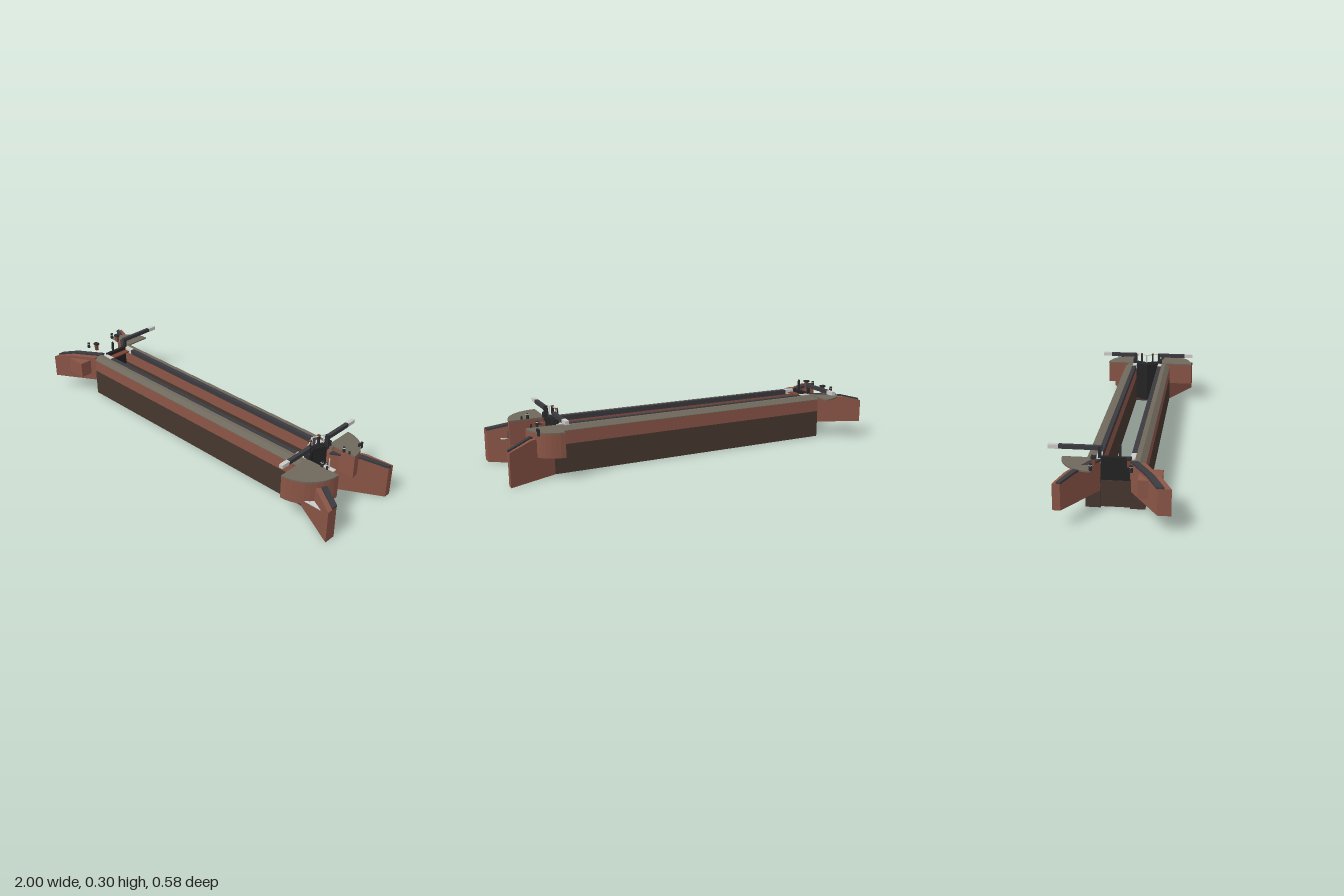
import * as THREE from 'three';

const mat = (name, color) => {
  const m = new THREE.MeshStandardMaterial({ color, side: THREE.DoubleSide, flatShading: true });
  m.name = name;
  return m;
};

export function createModel() {
  const root = new THREE.Group();
  root.name = 'canalLock';
  const brick = mat('brick', 0x8a5546), mud = mat('wetBrick', 0x46372f),
    stone = mat('pavingStone', 0x6f685c), coping = mat('darkCoping', 0x3a3a3f),
    gateBlack = mat('gateTimber', 0x232323), pale = mat('palePaint', 0xcbcbc8),
    iron = mat('iron', 0x2c2c30), rust = mat('rust', 0x7a4432), blue = mat('bluePaint', 0x3d4a63);

  const add = (name, geo, m) => {
    const mesh = new THREE.Mesh(geo, m);
    mesh.name = name;
    root.add(mesh);
    return mesh;
  };
  // box given by its minimum and maximum on each axis
  const box = (name, m, x0, x1, y0, y1, z0, z1) => {
    const g = new THREE.BoxGeometry(x1 - x0, y1 - y0, Math.abs(z1 - z0));
    return add(name, g.translate((x0 + x1) / 2, (y0 + y1) / 2, (z0 + z1) / 2), m);
  };
  const post = (name, m, x, y0, y1, z, r, sides = 8) =>
    add(name, new THREE.CylinderGeometry(r, r, y1 - y0, sides).translate(x, (y0 + y1) / 2, z), m);
  // upright block on a convex plan; every corner is [x, z, bottom, top]
  const block = (name, m, corners) => {
    let area = 0;
    corners.forEach((a, i) => {
      const b = corners[(i + 1) % corners.length];
      area += a[0] * b[1] - b[0] * a[1];
    });
    const p = area > 0 ? [...corners].reverse() : corners, n = p.length, v = [];
    const lo = (i) => [p[i % n][0], p[i % n][2], p[i % n][1]];
    const hi = (i) => [p[i % n][0], p[i % n][3], p[i % n][1]];
    for (let i = 0; i < n; i++) {
      v.push(...lo(i), ...lo(i + 1), ...hi(i + 1), ...lo(i), ...hi(i + 1), ...hi(i));
      if (i > 0 && i < n - 1) v.push(...hi(0), ...hi(i), ...hi(i + 1), ...lo(0), ...lo(i + 1), ...lo(i));
    }
    const g = new THREE.BufferGeometry();
    g.setAttribute('position', new THREE.Float32BufferAttribute(v, 3));
    g.computeVertexNormals();
    return add(name, g, m);
  };

  // chamber walls: wet lower courses, brick, sloped paving, dark coping
  const X0 = -0.785, X1 = 0.755, MID = 0.015;
  for (const s of [1, -1]) {
    const z = (d) => MID + s * d;
    box('lowerWall', mud, X0, X1, 0, 0.145, z(0.067), z(0.135));
    box('upperWall', brick, X0, X1, 0.145, 0.21, z(0.067), z(0.135));
    block('wallPaving', stone, [[X0, z(0.085), 0.21, 0.232], [X1, z(0.085), 0.21, 0.232],
      [X1, z(0.11), 0.21, 0.232], [X0, z(0.11), 0.21, 0.232]]);
    block('wallPavingSlope', stone, [[X0, z(0.11), 0.21, 0.232], [X1, z(0.11), 0.21, 0.232],
      [X1, z(0.135), 0.21, 0.213], [X0, z(0.135), 0.21, 0.213]]);
    box('copingEdge', coping, -0.7, 0.665, 0.21, 0.235, z(0.065), z(0.087));
    box('copingEnd', pale, -0.76, -0.7, 0.21, 0.236, z(0.065), z(0.087));
    box('copingEnd', pale, 0.665, 0.725, 0.21, 0.236, z(0.065), z(0.087));
  }

  // splayed wing walls, each a run of segments with a cap along the inner half
  const wing = (path, base, iz, oz) => {
    const [xa, xb] = [path[0][0], path[path.length - 1][0]];
    const at = (x, f) => {
      const t = (x - xa) / (xb - xa), i = iz[0] + (iz[1] - iz[0]) * t, o = oz[0] + (oz[1] - oz[0]) * t;
      return i + (o - i) * f;
    };
    for (let k = 0; k < path.length - 1; k++) {
      const [[x0, y0], [x1, y1]] = [path[k], path[k + 1]];
      block('wingWall', brick, [[x0, at(x0, 0), base, y0], [x1, at(x1, 0), base, y1],
        [x1, at(x1, 1), base, y1], [x0, at(x0, 1), base, y0]]);
      block('wingCap', coping, [[x0, at(x0, -0.05), y0 - 0.002, y0 + 0.008], [x1, at(x1, -0.05), y1 - 0.002, y1 + 0.008],
        [x1, at(x1, 0.5), y1 - 0.002, y1 + 0.008], [x0, at(x0, 0.5), y0 - 0.002, y0 + 0.008]]);
    }
  };
  const lowPath = [[X1, 0.2], [0.88, 0.2], [1, 0.168]], highPath = [[X0, 0.228], [-0.92, 0.226], [-1, 0.208]];
  wing(lowPath, 0, [0.085, 0.22], [0.15, 0.28]);
  wing(lowPath, 0, [-0.052, -0.19], [-0.12, -0.225]);
  wing(highPath, 0.085, [0.085, 0.22], [0.15, 0.28]);
  wing(highPath, 0.085, [-0.052, -0.19], [-0.12, -0.225]);
  box('sideBlock', brick, -0.93, -0.81, 0.125, 0.21, 0.13, 0.232);

  // quarter round platforms for the beams to swing over
  const quarter = (name, m, cx, cz, r, sx, sz, y0, y1) => {
    const pts = [[cx, cz, y0, y1]];
    for (let i = 0; i <= 10; i++) {
      const a = (i / 10) * Math.PI / 2;
      pts.push([cx + sx * r * Math.cos(a), cz + sz * r * Math.sin(a), y0, y1]);
    }
    block(name, m, pts);
  };
  for (const [cx, cz, r, sx, sz, y0] of [[0.73, 0.098, 0.185, 1, 1, 0.11],
    [0.73, -0.075, 0.15, 1, -1, 0.11], [-0.765, -0.075, 0.15, -1, -1, 0.222]]) {
    if (y0 < 0.2) quarter('platformBase', brick, cx, cz, r, sx, sz, y0, 0.228);
    quarter('platformTop', stone, cx, cz, r, sx, sz, Math.max(y0, 0.228), 0.235);
  }

  // mitred lower gates with posts and balance beams
  for (const s of [1, -1]) {
    const z = (d) => MID + s * d;
    block('lowerGate', gateBlack, [[0.685, MID, 0.01, 0.236], [0.705, MID, 0.01, 0.236],
      [0.735, z(0.068), 0.01, 0.236], [0.715, z(0.068), 0.01, 0.236]]);
    block('gateTopRail', iron, [[0.685, MID, 0.236, 0.25], [0.697, MID, 0.236, 0.25],
      [0.727, z(0.068), 0.236, 0.25], [0.715, z(0.068), 0.236, 0.25]]);
    box('heelPost', iron, 0.72, 0.74, 0.22, 0.295, z(0.064), z(0.076));
    box('heelCollar', iron, 0.715, 0.745, 0.235, 0.262, z(0.074), z(0.086));
    const end = s > 0 ? 0.225 : 0.222;
    box('balanceBeam', coping, 0.722, 0.74, 0.275, 0.295, z(0.066), z(end));
    box('beamTip', pale, 0.721, 0.741, 0.277, 0.296, z(end), z(end + 0.05));
    post('handrailPost', pale, 0.69, 0.236, 0.295, z(0.004), 0.0025, 6);
    post('handrailPost', pale, 0.715, 0.236, 0.295, z(0.06), 0.0025, 6);
    block('handrail', pale, [[0.688, MID, 0.293, 0.297], [0.693, MID, 0.293, 0.297],
      [0.722, z(0.064), 0.293, 0.297], [0.717, z(0.064), 0.293, 0.297]]);
    box('paddleRack', iron, 0.7, 0.711, 0.24, 0.298, z(0.028), z(0.038));
    box('rackTip', rust, 0.699, 0.712, 0.298, 0.302, z(0.027), z(0.039));
    post('bollard', iron, 0.82, 0.235, 0.262, z(0.084), 0.007);
    post('bollardCap', pale, 0.82, 0.256, 0.26, z(0.084), 0.008);
    post('smallBollard', iron, 0.85, 0.235, 0.25, z(0.086), 0.005);
  }
  box('lowerSill', mud, 0.7, 0.755, 0, 0.012, -0.052, 0.082);

  // pale landing below the gates with its uprights
  box('landing', pale, 0.735, 0.8, 0.127, 0.131, -0.05, 0.082);
  for (const [z, top] of [[0.06, 0.168], [0.03, 0.17], [-0.005, 0.175], [-0.031, 0.191]])
    post('landingPost', pale, 0.77, 0.131, top, z, 0.003, 6);

  // single upper gate on its breast wall
  box('breastWall', mud, -0.772, -0.72, 0, 0.13, -0.052, 0.082);
  box('upperGate', gateBlack, -0.77, -0.752, 0.12, 0.24, -0.052, 0.082);
  box('upperHeelPost', iron, -0.772, -0.754, 0.235, 0.29, -0.062, -0.05);
  box('upperBeam', coping, -0.772, -0.754, 0.272, 0.291, -0.24, -0.045);
  box('upperBeamTip', pale, -0.773, -0.753, 0.271, 0.291, -0.288, -0.24);
  box('upperPaddleRack', iron, -0.766, -0.756, 0.24, 0.298, 0.03, 0.04);
  box('upperWalkway', rust, -0.752, -0.72, 0.215, 0.222, -0.052, 0.082);

  // ground paddle gear and bollards at the upper end
  for (const z of [0.1, -0.075]) {
    post('upperBollard', iron, -0.905, 0.235, 0.265, z, 0.008);
    post('upperBollardCap', pale, -0.905, 0.257, 0.26, z, 0.009);
  }
  for (const z of [0.085, -0.07]) {
    box('paddleStand', rust, -0.858, -0.842, 0.235, 0.268, z - 0.008, z + 0.008);
    box('paddleStandTop', iron, -0.863, -0.837, 0.268, 0.278, z - 0.011, z + 0.011);
  }

  // small fittings at the lower end
  box('sideStep', pale, 0.83, 0.94, 0.124, 0.128, 0.17, 0.245);
  box('bluePlate', blue, 0.9, 0.908, 0.13, 0.165, 0.16, 0.17);
  for (let i = 0; i < 3; i++) box('rackSlat', iron, 0.84, 0.85, 0.218, 0.25, -0.152 - i * 0.012, -0.158 - i * 0.012);
  for (const y of [0.226, 0.242]) box('rackBar', iron, 0.842, 0.848, y, y + 0.005, -0.182, -0.152);

  return root;
}
